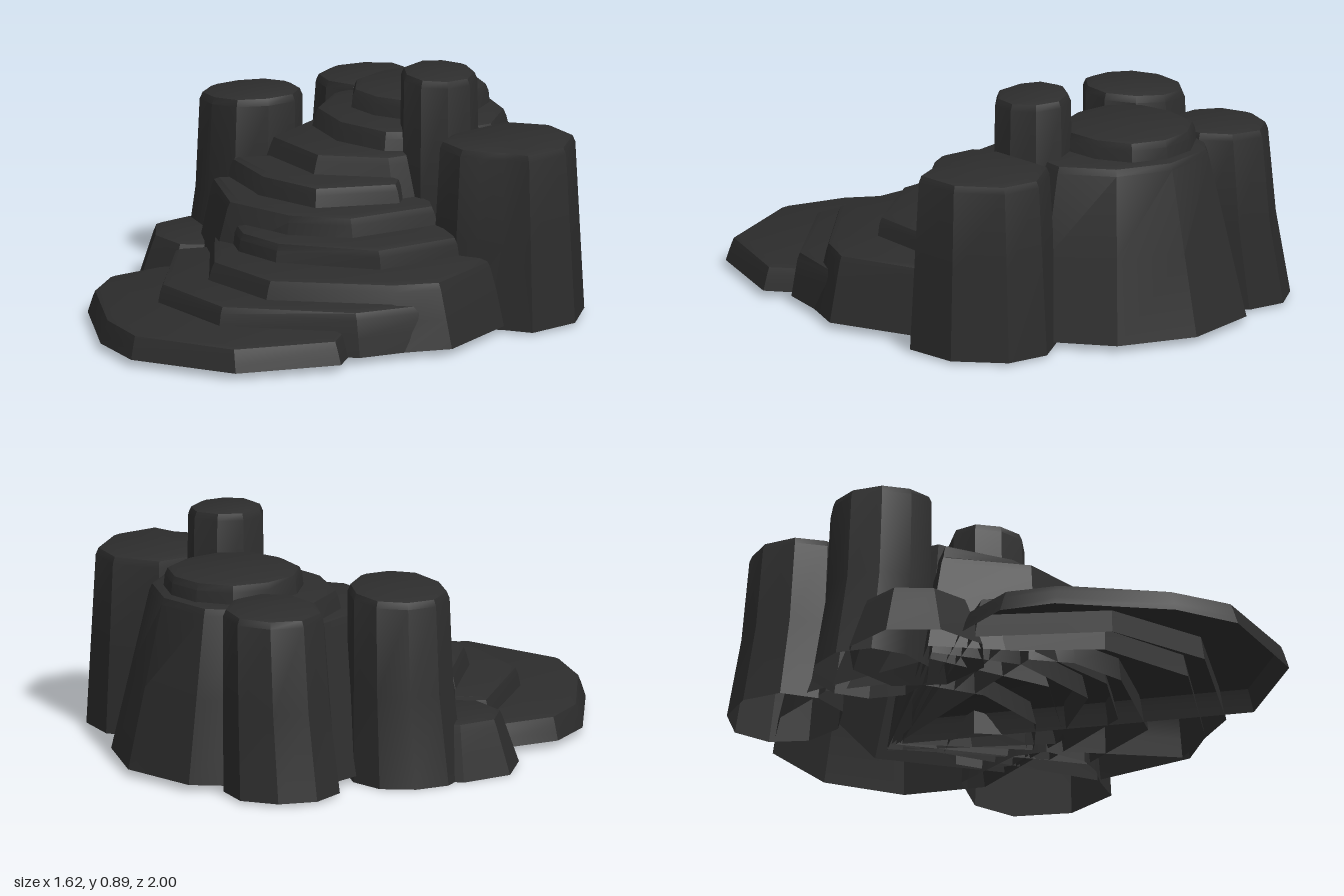
import * as THREE from 'three';
import { toCreasedNormals } from 'three/addons/utils/BufferGeometryUtils.js';

const rockMaterial = new THREE.MeshStandardMaterial({ color: 0x2d2d2d, side: THREE.DoubleSide });
rockMaterial.name = 'dark rock';

// Hollow rock shell: flared skirt, bevelled rim and flat (or tilted) cap, open below.
// outline = [x, z] points of the rim; lean shifts the foot in x; waist < 0.5 curves the foot outwards.
function rock(name, outline, top, { bottom = 0.025, flare = 0.02, lean = 0, waist = 0.5, tilt = 0 } = {}) {
  const bevel = 0.035;
  const pts = THREE.ShapeUtils.area(outline.map(([x, z]) => new THREE.Vector2(x, z))) > 0 ? [...outline].reverse() : outline;
  const n = pts.length;
  const cx = pts.reduce((s, p) => s + p[0], 0) / n;
  const cz = pts.reduce((s, p) => s + p[1], 0) / n;

  // Each ring: height, outward offset, share of the lean, share of the tilt
  const rimY = top - bevel;
  const rings = [
    [bottom, flare, 1, 0],
    [(bottom + rimY) / 2, flare * waist, waist, 0.5],
    [rimY, 0, 0, 1],
    [top - bevel * 0.3, -bevel * 0.3, 0, 1],
    [top, -bevel, 0, 1],
  ];
  const positions = [];
  for (const [y, offset, leanShare, tiltShare] of rings) {
    for (const [x, z] of pts) {
      const dx = x - cx, dz = z - cz, k = 1 + offset / Math.hypot(dx, dz);
      positions.push(cx + dx * k + lean * leanShare, y + dx * tilt * tiltShare, cz + dz * k);
    }
  }
  positions.push(cx, top, cz);

  const index = [];
  const last = rings.length - 1;
  for (let i = 0; i < n; i++) {
    const j = (i + 1) % n;
    for (let r = 0; r < last; r++) {
      const a = r * n + i, b = r * n + j;
      index.push(a, b, b + n, a, b + n, a + n);
    }
    index.push(last * n + i, last * n + j, rings.length * n);
  }
  const geometry = new THREE.BufferGeometry();
  geometry.setAttribute('position', new THREE.Float32BufferAttribute(positions, 3));
  geometry.setIndex(index);
  const mesh = new THREE.Mesh(toCreasedNormals(geometry, 0.55), rockMaterial);
  mesh.name = name;
  return mesh;
}

// Slightly irregular round outline
function round(cx, cz, rx, rz, sides, turn) {
  return Array.from({ length: sides }, (_, i) => {
    const a = turn + (i / sides) * Math.PI * 2;
    const k = 1 + 0.025 * Math.sin(i * 2.3);
    return [cx + Math.cos(a) * rx * k, cz + Math.sin(a) * rz * k];
  });
}

export function createModel() {
  const group = new THREE.Group();
  group.name = 'rockStairs';

  // Evenly rising steps: each front edge closes at one point buried in the mound
  const core = [-0.1, -0.55];
  const stepTop = (i) => 0.118 + i * 0.0775;
  const addStep = (i, flare, ...edge) =>
    group.add(rock(`step${i + 1}`, [...edge, core], stepTop(i), { flare }));
  addStep(0, 0.02, [-0.49, 0.34], [-0.49, 0.56], [-0.37, 0.72], [0, 0.93], [0.24, 0.975], [0.61, 0.79], [0.735, 0.42]);
  addStep(1, 0.025, [-0.42, 0.32], [-0.06, 0.64], [0.33, 0.65], [0.69, 0.3], [0.76, -0.04]);
  addStep(2, 0.055, [-0.25, 0.27], [0.03, 0.475], [0.37, 0.465], [0.69, 0.13], [0.755, -0.03], [0.62, -0.35]);
  addStep(3, 0.04, [-0.14, 0.26], [0, 0.325], [0.2, 0.305], [0.5, 0.06], [0.51, -0.28]);
  addStep(4, 0.09, [-0.45, 0.13], [-0.15, 0.275], [0.14, 0.21], [0.31, 0.05], [0.34, -0.3]);
  addStep(5, 0.1, [-0.4, 0.08], [-0.13, 0.14], [0.13, 0.08], [0.25, -0.2]);
  addStep(6, 0.18, [-0.47, -0.38], [-0.33, -0.05], [-0.02, -0.03], [0.17, -0.22], [0.19, -0.45]);

  // Mound behind the stairs and the round summit on it
  group.add(
    rock('mound', round(-0.12, -0.53, 0.36, 0.34, 10, 0.3), stepTop(7), { flare: 0.14 }),
    rock('summit', round(-0.145, -0.58, 0.24, 0.25, 11, 0.2), stepTop(8), { bottom: 0.4, flare: 0.03 }),
  );

  // Standing pillars around the stairs
  const twinOutline = [[0.28, -0.66], [0.42, -0.775], [0.57, -0.765], [0.7, -0.63], [0.72, -0.45],
    [0.63, -0.4], [0.57, -0.34], [0.5, -0.3], [0.36, -0.31], [0.3, -0.4]];
  group.add(
    rock('rightFrontPillar', round(-0.54, -0.115, 0.19, 0.185, 10, 0.3), 0.703,
      { bottom: 0, flare: 0.03, lean: -0.05, waist: 0.25, tilt: 0.07 }),
    rock('rightBackPillar', round(-0.53, -0.625, 0.185, 0.185, 9, 0.2), 0.685,
      { bottom: 0.01, flare: 0.03, lean: -0.065, waist: 0.35, tilt: 0.04 }),
    rock('leftPillar', twinOutline, 0.675, { bottom: 0.01, flare: 0.035 }),
    rock('tallPillar', round(0.18, -0.435, 0.143, 0.14, 9, 0.4), 0.88, { flare: 0.015, tilt: -0.04 }),
  );

  // Low boulder beside the stairs
  group.add(rock('lowBoulder', round(-0.54, 0.1, 0.2, 0.2, 8, 0.3), 0.205, { bottom: 0, flare: 0.06, tilt: -0.02 }));

  return group;
}
